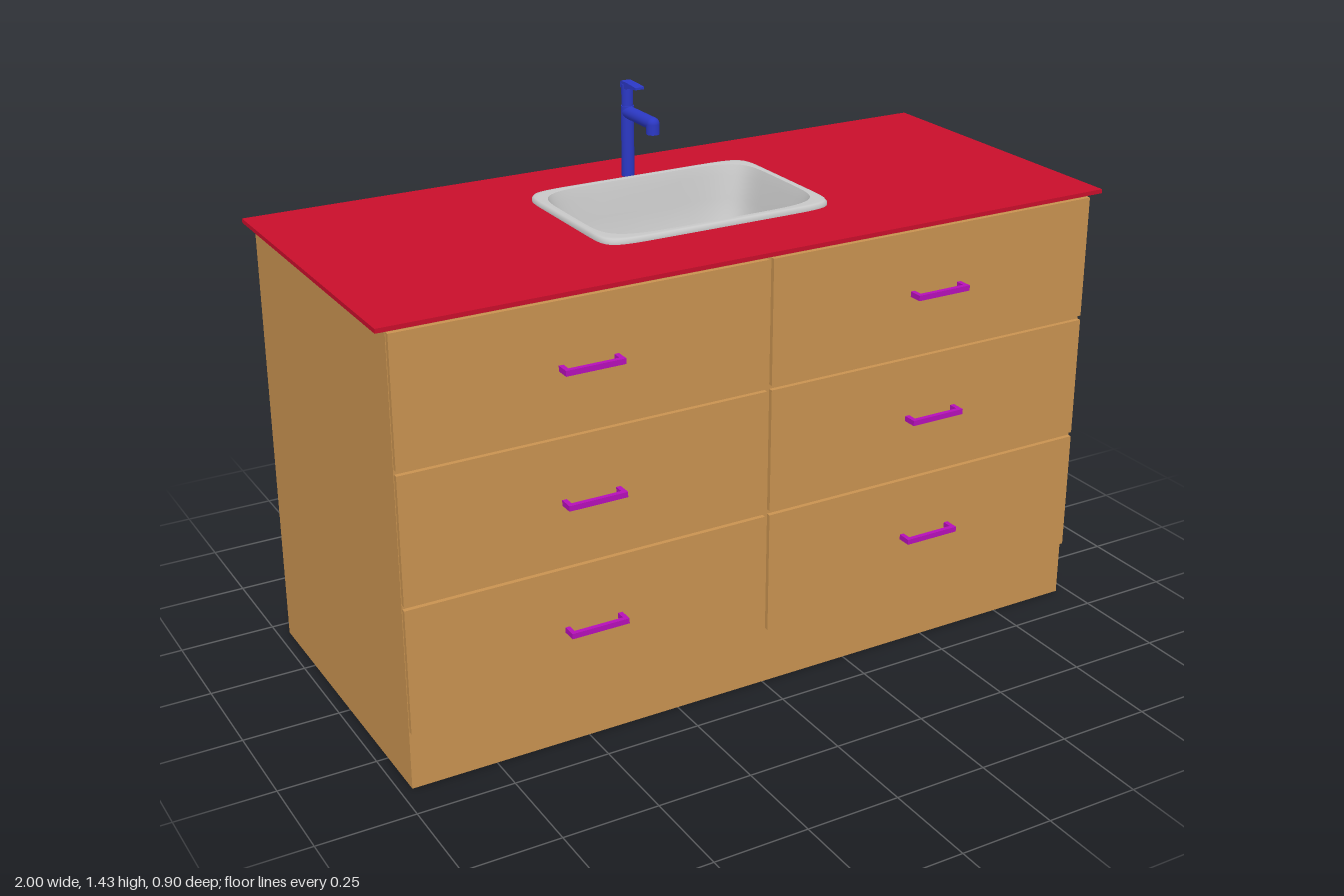
import * as THREE from 'three';

const material = (name, color, side = THREE.FrontSide) => {
  const m = new THREE.MeshStandardMaterial({ color, side });
  m.name = name;
  return m;
};

// Rounded-rectangle outline as a superellipse; higher power means tighter corners
const SEGMENTS = 80;
const outline = (hx, hz, power) => Array.from({ length: SEGMENTS }, (_, j) => {
  const t = (j / SEGMENTS) * Math.PI * 2;
  const bend = v => Math.sign(v) * Math.abs(v) ** (2 / power);
  return new THREE.Vector2(hx * bend(Math.cos(t)), hz * bend(Math.sin(t)));
});

// Skin a smooth surface through rings given as [half x, half z, y, power]
function loft(rings) {
  const positions = [], index = [];
  for (const [hx, hz, y, power] of rings) {
    for (const p of outline(hx, hz, power)) positions.push(p.x, y, p.y);
  }
  for (let i = 0; i < rings.length - 1; i++) {
    for (let j = 0; j < SEGMENTS; j++) {
      const k = (j + 1) % SEGMENTS;
      const a = i * SEGMENTS + j, b = i * SEGMENTS + k;
      index.push(a, a + SEGMENTS, b, b, a + SEGMENTS, b + SEGMENTS);
    }
  }
  const g = new THREE.BufferGeometry();
  g.setAttribute('position', new THREE.Float32BufferAttribute(positions, 3));
  g.setIndex(index);
  g.computeVertexNormals();
  return g;
}

export function createModel() {
  const wood = material('wood', 0xc89250);
  const red = material('red worktop', 0xc80e2b);
  const blue = material('blue tap', 0x2b38c4);
  const purple = material('purple handle', 0xb510b8);
  const steel = material('grey steel', 0xc8c8c8, THREE.DoubleSide);

  const model = new THREE.Group();
  model.name = 'sinkCabinet';
  const add = (parent, name, geometry, mat, x = 0, y = 0, z = 0) => {
    const mesh = new THREE.Mesh(geometry, mat);
    mesh.name = name;
    mesh.position.set(x, y, z);
    parent.add(mesh);
    return mesh;
  };
  const group = (name, x = 0, y = 0, z = 0) => {
    const g = new THREE.Group();
    g.name = name;
    g.position.set(x, y, z);
    model.add(g);
    return g;
  };
  const box = (parent, name, mat, x0, x1, y0, y1, z0, z1) => add(parent, name,
    new THREE.BoxGeometry(x1 - x0, y1 - y0, z1 - z0), mat,
    (x0 + x1) / 2, (y0 + y1) / 2, (z0 + z1) / 2);

  // Cabinet panels, hollow so the basin can hang inside
  const cabinet = group('cabinet');
  box(cabinet, 'leftPanel', wood, 0.95, 0.97, 0, 1.163, -0.448, 0.4);
  box(cabinet, 'rightPanel', wood, -0.97, -0.95, 0, 1.163, -0.448, 0.4);
  box(cabinet, 'backPanel', wood, -0.95, 0.95, 0, 1.163, -0.448, -0.428);
  box(cabinet, 'frontPanel', wood, -0.95, 0.95, 0, 1.163, 0.38, 0.4);
  box(cabinet, 'bottomPanel', wood, -0.95, 0.95, 0, 0.02, -0.428, 0.38);

  // Drawer fronts with bracket handles
  for (const side of [-1, 1]) {
    for (let row = 0; row < 3; row++) {
      const y = 0.155 + row * 0.337;
      const drawer = group('drawer', side * 0.4875, y + 0.1625, 0);
      box(drawer, 'drawerFront', wood, -0.481, 0.481, -0.1625, 0.1625, 0.4, 0.412);
      const handle = new THREE.Group();
      handle.name = 'handle';
      drawer.add(handle);
      box(handle, 'handleBar', purple, -0.077, 0.077, -0.007, 0.007, 0.437, 0.449);
      for (const s of [-1, 1]) {
        box(handle, 'handlePost', purple, s * 0.071 - 0.006, s * 0.071 + 0.006,
          -0.007, 0.007, 0.412, 0.437);
      }
    }
  }

  // Worktop with a cut-out under the sink rim
  const top = new THREE.Shape([[-1, -0.42], [1, -0.42], [1, 0.45], [-1, 0.45]]
    .map(([x, y]) => new THREE.Vector2(x, y)));
  top.holes.push(new THREE.Path(outline(0.312, 0.214, 7)
    .map(p => new THREE.Vector2(p.x, p.y + 0.028)).reverse()));
  const worktop = new THREE.ExtrudeGeometry(top, { depth: 0.011, bevelEnabled: false });
  worktop.rotateX(-Math.PI / 2);
  add(model, 'worktop', worktop, red, 0, 1.163, 0);

  // Sink: raised rim and sloping basin
  const sink = group('sink', 0, 0, -0.028);
  add(sink, 'sinkRim', loft([
    [0.325, 0.228, 1.174, 10], [0.325, 0.228, 1.181, 10], [0.321, 0.224, 1.187, 10],
    [0.315, 0.218, 1.188, 9], [0.305, 0.206, 1.187, 5.5],
  ]), steel);
  add(sink, 'sinkBasin', loft([
    [0.305, 0.206, 1.187, 5.5], [0.296, 0.198, 1.16, 5.5], [0.282, 0.187, 1.1, 5.2],
    [0.268, 0.175, 1.04, 5], [0.25, 0.158, 1.005, 4.6], [0.215, 0.128, 0.985, 4],
    [0.15, 0.09, 0.977, 3], [0.06, 0.055, 0.972, 2], [0.035, 0.035, 0.965, 2],
    [0.001, 0.001, 0.965, 2],
  ]), steel);

  // Drain: a disc with a ring of raised ribs
  const drain = group('drain', 0, 0.972, -0.028);
  add(drain, 'drainDisc', new THREE.CylinderGeometry(0.038, 0.038, 0.014, 32), blue);
  add(drain, 'drainHub', new THREE.CylinderGeometry(0.01, 0.012, 0.01, 20), blue, 0, 0.01, 0);
  for (let i = 0; i < 8; i++) {
    const a = (i / 8) * Math.PI * 2;
    const rib = add(drain, 'drainRib', new THREE.BoxGeometry(0.024, 0.006, 0.006), blue,
      Math.cos(a) * 0.022, 0.009, Math.sin(a) * 0.022);
    rib.rotation.y = -a;
  }

  // Tap: column, elbowed spout, and a lever on a turning head
  const tap = group('tap', 0, 0, -0.298);
  const R = 0.017;
  const tube = (name, r, y0, y1, z = 0) => add(tap, name,
    new THREE.CylinderGeometry(r, r, y1 - y0, 32), blue, 0, (y0 + y1) / 2, z);
  tube('tapColumn', R, 1.174, 1.363);
  tube('tapNeck', 0.0145, 1.363, 1.368);
  tube('tapHead', 0.0155, 1.368, 1.42);
  const spout = add(tap, 'spout', new THREE.CylinderGeometry(R, R, 0.136, 32), blue,
    0, 1.346, 0.068);
  spout.rotation.x = Math.PI / 2;
  add(tap, 'spoutElbow', new THREE.SphereGeometry(R, 32, 20), blue, 0, 1.346, 0.136);
  tube('spoutTip', R, 1.319, 1.346, 0.136);

  // Lever from its side profile, tapering toward the tip
  const profile = new THREE.Shape();
  profile.moveTo(-0.015, 1.41);
  profile.lineTo(0.015, 1.41);
  profile.quadraticCurveTo(0.03, 1.416, 0.068, 1.419);
  profile.lineTo(0.068, 1.425);
  profile.quadraticCurveTo(0.03, 1.429, -0.01, 1.428);
  profile.quadraticCurveTo(-0.015, 1.427, -0.015, 1.41);
  const lever = new THREE.ExtrudeGeometry(profile, { depth: 0.026, bevelEnabled: false });
  lever.translate(0, 0, -0.013);
  lever.rotateY(-Math.PI / 2);
  add(tap, 'lever', lever, blue);

  return model;
}
